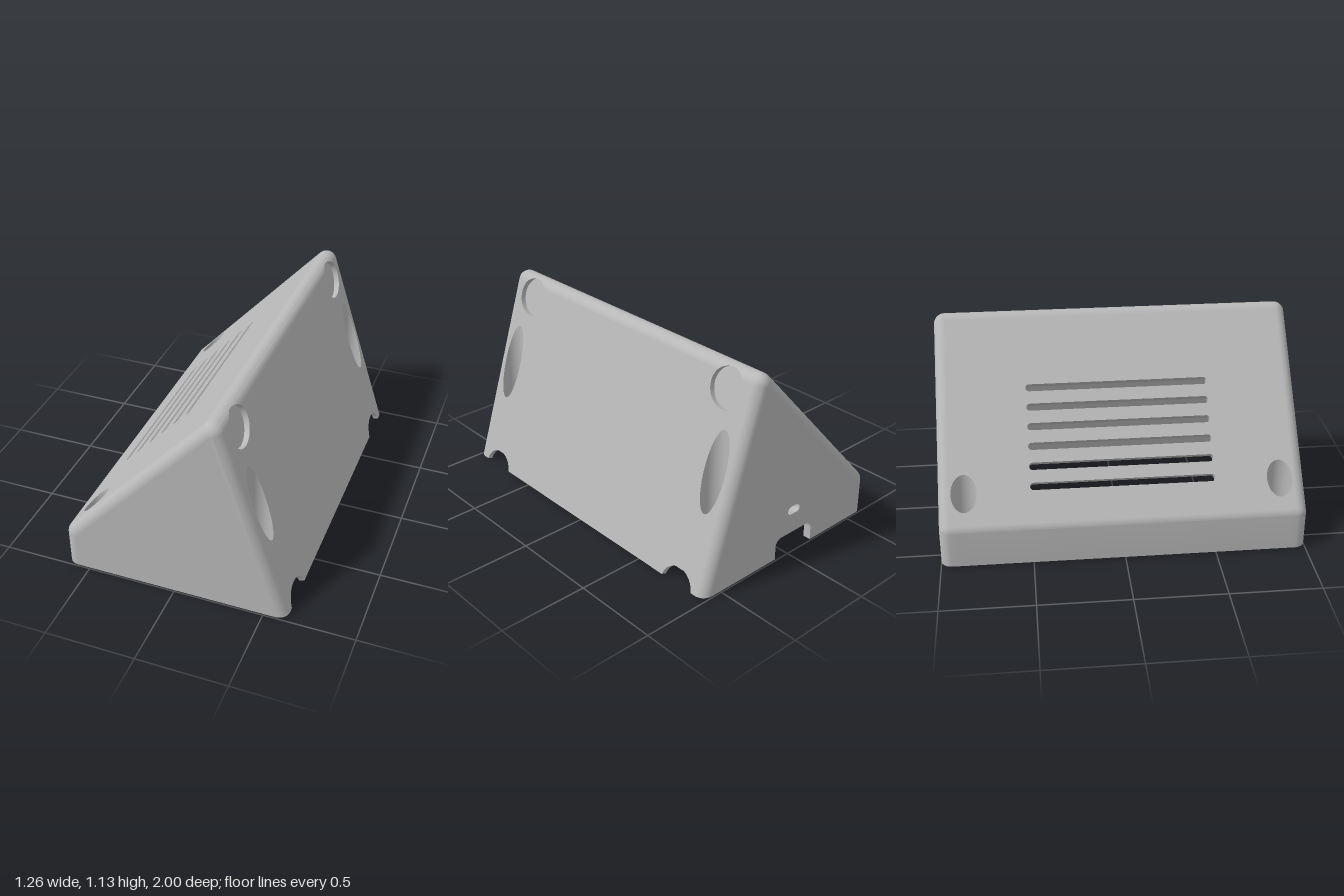
import * as THREE from 'three';
import { toCreasedNormals } from 'three/addons/utils/BufferGeometryUtils.js';

const R = 0.06, R_IN = 0.015, R_RIM = 0.035;   // offsets from the core wedge: outer skin, inner skin, rim
const ZC = 0.94, RIM_Y = 0.06, PI = Math.PI;
const C1 = { x: -0.57, y: 0.2 }, C2 = { x: 0.22, y: 1.06 };   // centres of the two rounded ridges
const V = (x, y, z) => new THREE.Vector3(x, y, z);

// Tilted planes: normal angles, and frames (origin, u, v, n)
const slopeA = Math.atan2(C2.y - C1.y, C2.x - C1.x) + PI / 2;
const steepA = Math.atan2(-1.06, 0.41) + Math.acos(R / Math.hypot(0.41, 1.06));
const frame = (o, u, v, n) => ({ o, u, v, n });
const slope = frame(V(C2.x, C2.y, 0), V(0, 0, 1), V(Math.sin(slopeA), -Math.cos(slopeA), 0), V(Math.cos(slopeA), Math.sin(slopeA), 0));
const steep = frame(V(C2.x, C2.y, 0), V(0, 0, -1), V(-Math.sin(steepA), Math.cos(steepA), 0), V(Math.cos(steepA), Math.sin(steepA), 0));
const backEnd = frame(V(0, 0, -ZC), V(-1, 0, 0), V(0, 1, 0), V(0, 0, -1));
const frontEnd = frame(V(0, 0, ZC), V(1, 0, 0), V(0, 1, 0), V(0, 0, 1));

const at = (f, [u, v], h) => f.o.clone().addScaledVector(f.u, u).addScaledVector(f.v, v).addScaledVector(f.n, h);
const vAtY = (f, y, h) => (y - f.o.y - f.n.y * h) / f.v.y;
const vAtX = (f, x, h) => (x - f.o.x - f.n.x * h) / f.v.x;
const yAtX = (f, x, h) => f.o.y + f.n.y * h + f.v.y * vAtX(f, x, h);
const rightX = (h, y) => C2.x + steep.n.x * h + steep.v.x * vAtY(steep, y, h);

// Points on an ellipse arc
function arc(cu, cv, ru, rv, a0, a1, n = 32) {
  return Array.from({ length: n + 1 }, (_, i) => {
    const a = a0 + (a1 - a0) * i / n;
    return [cu + ru * Math.cos(a), cv + rv * Math.sin(a)];
  });
}
const pill = (cu, cv, half, r) => [...arc(cu + half, cv, r, r, -PI / 2, PI / 2, 10), ...arc(cu - half, cv, r, r, PI / 2, 1.5 * PI, 10)];

// Surface through rows of points, leaving out skipped cells
function grid(rows, skip = () => false) {
  const w = rows[0].length, index = [];
  for (let i = 0; i < rows.length - 1; i++) for (let j = 0; j < w - 1; j++) {
    if (skip(i, j)) continue;
    const a = i * w + j, b = a + w;
    index.push(a, a + 1, b, b, a + 1, b + 1);
  }
  const g = new THREE.BufferGeometry().setFromPoints(rows.flat());
  g.setIndex(index);
  return toCreasedNormals(g, 0.6);
}

// Flat panel in a frame, at height h along its normal
function panel(f, pts, holes, h) {
  const vec = (p) => p.map(([x, y]) => new THREE.Vector2(x, y));
  const s = new THREE.Shape(vec(pts));
  holes.forEach((p) => s.holes.push(new THREE.Path(vec(p))));
  const m = new THREE.Matrix4().makeBasis(f.u, f.v, f.n).setPosition(at(f, [0, 0], h));
  return new THREE.ShapeGeometry(s).applyMatrix4(m);
}

// Foot recesses on the steep face
const FOOT_R = 0.11, FOOT_Z = 0.8, FOOT_H = 0.03;
const footTop = vAtY(steep, 1.012, R), footLow = vAtY(steep, -0.02, R);
const steepBase = vAtY(steep, 0, R);
const lowAngle = Math.asin((steepBase - footLow) / FOOT_R);
const topAngle = Math.asin(-footTop / FOOT_R);
const ridgeTop = (z) => {
  const d = FOOT_R ** 2 - (Math.abs(z) - FOOT_Z) ** 2;
  return d > 0 ? Math.max(0, footTop + Math.sqrt(d)) : 0;
};

// Rounded edges and left wall of one skin; the slope and steep panels are left open
function skin(r, yb, outer) {
  const cols = [], N = 10;
  for (let k = 0; k <= N; k++) cols.push([-ZC - r * Math.cos(k / N * PI / 2), Math.sin(k / N * PI / 2)]);
  if (outer) for (const s of [-1, 1]) for (let k = -8; k <= 8; k++)
    cols.push([s * FOOT_Z + 0.0849 * Math.sin(k / 16 * PI), 1]);
  const last = cols.length;
  for (let k = 0; k <= N; k++) cols.push([ZC + r * Math.sin(k / N * PI / 2), Math.cos(k / N * PI / 2)]);
  const ridge = (c, a0, a1, t) => cols.map(([z, q]) => {
    const end = a1 === steepA && outer && q === 1 ? a1 + Math.asin(ridgeTop(z) / r) : a1;
    const a = a0 + (end - a0) * t;
    return V(c.x + r * q * Math.cos(a), c.y + r * q * Math.sin(a), z);
  });
  const rows = [cols.map(([z, q]) => V(C1.x - r * q, yb, z))];
  for (let k = 0; k <= 8; k++) rows.push(ridge(C1, PI, slopeA, k / 8));
  for (let k = 0; k <= 14; k++) rows.push(ridge(C2, slopeA, steepA, k / 14));
  rows.push(cols.map(([z, q]) => V(rightX(r * q, yb), yb, z)));
  return grid(rows, (i, j) => (i === 9 || i === 24) && j >= N && j < last);
}

export function createModel() {
  const model = new THREE.Group();
  const grey = new THREE.MeshStandardMaterial({ color: 0xb8b8b8, side: THREE.DoubleSide });
  grey.name = 'grey plastic';
  const add = (name, geometry) => {
    const m = new THREE.Mesh(geometry, grey);
    m.name = name;
    model.add(m);
  };
  const cutWall = (name, f, pts, closed) => {
    const p = closed ? [...pts, pts[0]] : pts;
    add(name, grid([p.map((q) => at(f, q, R)), p.map((q) => at(f, q, R_IN))]));
  };

  // Openings: vents in the slope, port and small window in the back end
  const vents = [-0.48, -0.405, -0.33, -0.255, -0.18, -0.105].map((x) => pill(0, vAtX(slope, x, R), 0.485, 0.02));
  const port = (yb) => [[-0.1, yb], ...arc(-0.06, 0.08, 0.04, 0.04, PI, PI / 2, 6), ...arc(0.14, 0.08, 0.04, 0.04, PI / 2, 0, 6), [0.18, yb]];
  const windowHole = pill(0.03, 0.26, 0.022, 0.024);
  vents.forEach((p) => cutWall('ventWall', slope, p, true));
  cutWall('windowWall', backEnd, windowHole, true);
  cutWall('portWall', backEnd, port(0), false);

  const bore = (f, x, h) => [-0.86, 0.86].map((z) => arc(z, vAtX(f, x, h), 0.07, 0.07 / Math.abs(f.v.x), 0, 2 * PI, 40).slice(0, -1));
  const slopeLength = Math.hypot(C2.x - C1.x, C2.y - C1.y);

  // Outer and inner skins
  for (const [name, h, yb] of [['outer', R, 0], ['inner', R_IN, RIM_Y]]) {
    const outer = name === 'outer';
    add(name + 'Edges', skin(h, yb, outer));
    add(name + 'Slope', panel(slope, [[-ZC, -slopeLength], [ZC, -slopeLength], [ZC, 0], [-ZC, 0]], [...vents, ...bore(slope, -0.495, h)], h));
    const vb = vAtY(steep, yb, h), edge = [[-ZC, vb]];
    if (outer) for (const s of [-1, 1]) edge.push(...arc(s * FOOT_Z, footLow, FOOT_R, FOOT_R, PI - lowAngle, lowAngle));
    edge.push([ZC, vb], [ZC, 0]);
    if (outer) for (const s of [1, -1]) edge.push(...arc(s * FOOT_Z, footTop, FOOT_R, FOOT_R, 2 * PI + topAngle, PI - topAngle));
    edge.push([-ZC, 0]);
    add(name + 'SteepFace', panel(steep, edge, bore(steep, 0.43, h), h));
    const xr = rightX(0, yb);
    add(name + 'FrontEnd', panel(frontEnd, [[C1.x, yb], [xr, yb], [C2.x, C2.y], [C1.x, C1.y]], [], h));
    add(name + 'BackEnd', panel(backEnd, [[-xr, yb], ...port(yb), [-C1.x, yb], [-C1.x, C1.y], [-C2.x, C2.y]], [windowHole], h));
  }

  // Foot recess walls and floors
  const skinH = (v) => (v > 0 ? Math.sqrt(R * R - v * v) : R);
  const floorAngle = Math.asin((vAtY(steep, RIM_Y, FOOT_H) - footLow) / FOOT_R);
  for (const s of [-1, 1]) {
    const top = arc(s * FOOT_Z, footTop, FOOT_R, FOOT_R, 0, 2 * PI, 48);
    const low = arc(s * FOOT_Z, footLow, FOOT_R, FOOT_R, lowAngle, PI - lowAngle);
    for (const p of [top, low])
      add('footRecessWall', grid([p.map((q) => at(steep, q, skinH(q[1]))), p.map((q) => at(steep, q, FOOT_H))]));
    add('footRecessFloor', panel(steep, top.slice(0, -1), [], FOOT_H));
    add('footRecessFloor', panel(steep, arc(s * FOOT_Z, footLow, FOOT_R, FOOT_R, floorAngle, PI - floorAngle), [], FOOT_H));
  }

  // Stepped bottom rim, open at the port and the lower foot recesses
  const rim = [];
  const corner = (side, a0, a1) => {
    for (let k = 0; k <= 8; k++) {
      const a = a0 + (a1 - a0) * k / 8, c = Math.cos(a), s = Math.sin(a);
      rim.push({ p: (r, y) => V(side > 0 ? rightX(r * c, y) : C1.x - r * c, y, Math.sign(a0 + a1) * ZC + r * s) });
    }
  };
  corner(1, -PI / 2, 0);
  for (const [z, foot] of [[-0.908, true], [-0.692], [0.692, true], [0.908]]) rim.push({ foot, p: (r, y) => V(rightX(r, y), y, z) });
  corner(1, 0, PI / 2);
  corner(-1, PI / 2, 0);
  corner(-1, 0, -PI / 2);
  for (const [x, gap] of [[-0.18, true], [0.1]]) rim.push({ gap, p: (r, y) => V(x, y, -ZC - r) });
  rim.push(rim[0]);
  const steps = [[R, 0], [R_RIM, 0], [R_RIM, RIM_Y], [R_IN, RIM_Y]];
  add('bottomRim', grid(steps.map(([r, y]) => rim.map((e) => e.p(r, y))), (i, j) => rim[j].gap || (rim[j].foot && i < 2)));

  // Screw posts with deep bores
  for (const [f, x] of [[slope, -0.495], [steep, 0.43]]) for (const z of [-0.86, 0.86]) {
    const ring = (r, y) => arc(x, z, r, r, 0, 2 * PI, 40).map(([px, pz]) => V(px, y(px), pz));
    const level = (y) => () => y;
    add('screwPost', grid([
      ring(0.07, (px) => yAtX(f, px, R)), ring(0.07, level(0.08)), ring(0.038, level(0.08)),
      ring(0.038, level(0)), ring(0.1, level(0)), ring(0.1, (px) => yAtX(f, px, R_IN)),
    ]));
  }
  return model;
}
